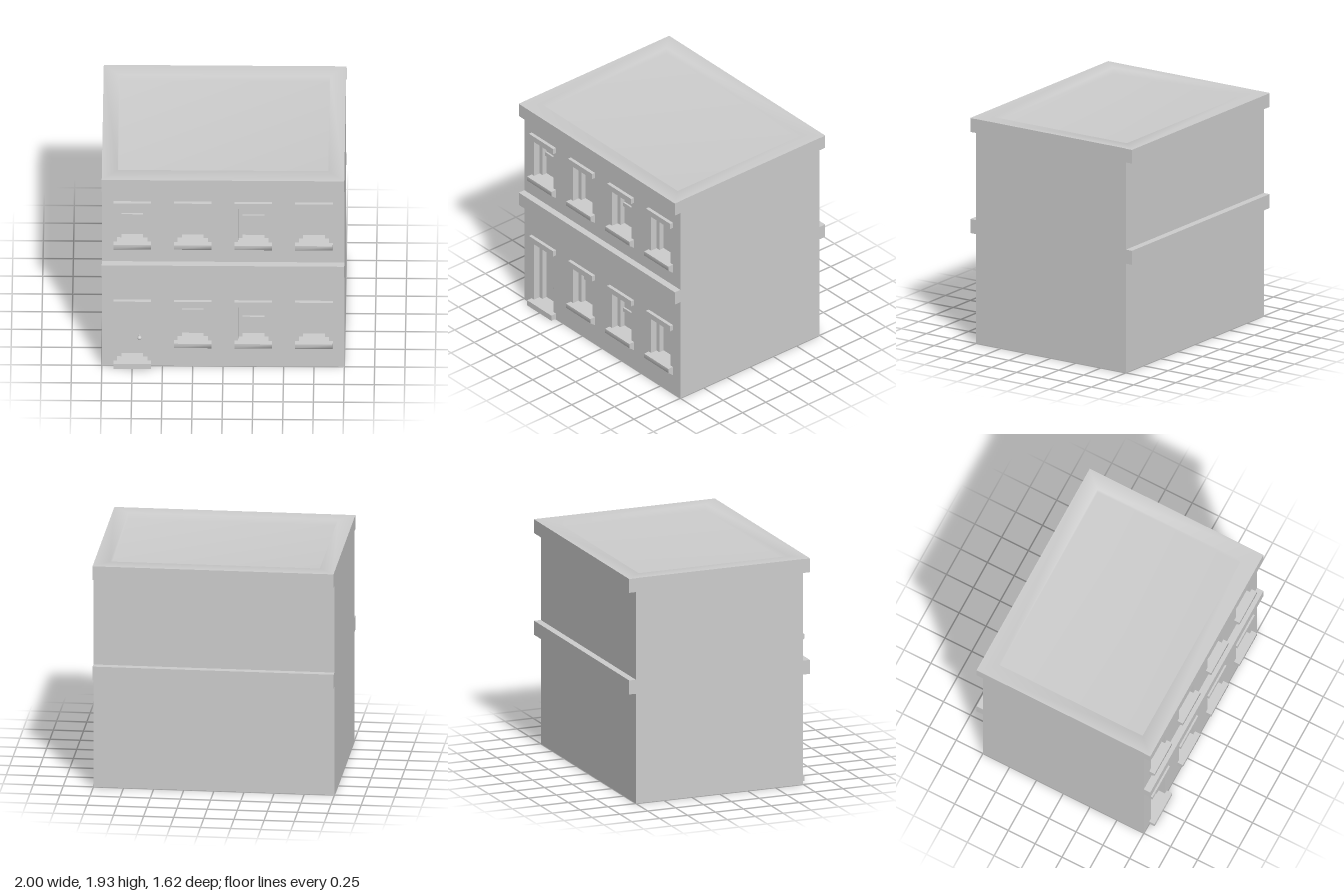
import * as THREE from 'three';
import { toCreasedNormals } from 'three/addons/utils/BufferGeometryUtils.js';

const plaster = new THREE.MeshStandardMaterial({ color: 0xcccccc, side: THREE.DoubleSide });
plaster.name = 'grey plaster';

function add(parent, name, geometry, x = 0, y = 0, z = 0) {
  const mesh = new THREE.Mesh(geometry, plaster);
  mesh.name = name;
  mesh.position.set(x, y, z);
  parent.add(mesh);
  return mesh;
}

// Box given by its limits on each axis
function block(parent, name, x0, x1, y0, y1, z0, z1) {
  return add(parent, name, new THREE.BoxGeometry(x1 - x0, y1 - y0, z1 - z0),
    (x0 + x1) / 2, (y0 + y1) / 2, (z0 + z1) / 2);
}

const HALF_DEPTH = 0.75, TOP = 1.93, RIM_Z = 0.81;
const HALF_HOLE = 0.125, HALF_GLASS = 0.09, HALF_LINTEL = 0.155;

// Each opening: centre x, bottom of its storey, height of the cross rail above it
const openings = [
  { x: -0.75, base: 0, rail: 0.52, door: true },
  { x: -0.25, base: 0, rail: 0.49 },
  { x: 0.25, base: 0, rail: 0.42 },
  { x: 0.75, base: 0, rail: 0.565 },
  { x: -0.75, base: 1, rail: 0.455 },
  { x: -0.25, base: 1, rail: 0.52 },
  { x: 0.25, base: 1, rail: 0.45 },
  { x: 0.75, base: 1, rail: 0 },
];

// Sill with a rounded-off underside, swept along x
function sillGeometry() {
  const profile = new THREE.Shape([[0.6, 0.18], [0.75, 0.18], [0.8, 0.22], [0.8, 0.26], [0.6, 0.26]]
    .map(([z, y]) => new THREE.Vector2(z, y)));
  const geometry = new THREE.ExtrudeGeometry(profile, { depth: HALF_LINTEL * 2, bevelEnabled: false });
  geometry.rotateY(-Math.PI / 2).translate(HALF_LINTEL, 0, 0);
  return toCreasedNormals(geometry, 0.96);
}

function createOpening({ x, base, rail, door }) {
  const group = new THREE.Group();
  group.name = door ? 'door' : 'window';
  group.position.set(x, base, 0);
  const bottom = door ? 0.05 : 0.26, top = 0.62;

  block(group, 'lintel', -HALF_LINTEL, HALF_LINTEL, top, 0.67, 0.6, 0.78);
  if (door) block(group, 'threshold', -HALF_LINTEL, HALF_LINTEL, 0, 0.05, 0.6, 0.8);
  else add(group, 'sill', sillGeometry());

  for (const side of [-1, 1]) {
    // Reveal lining the wall hole, then the jamb set back inside it
    add(group, 'reveal', new THREE.BoxGeometry(0.004, top - bottom, 0.148),
      side * (HALF_HOLE + 0.002), (top + bottom) / 2, 0.675);
    add(group, 'jamb', new THREE.BoxGeometry(HALF_HOLE - HALF_GLASS, top - bottom, 0.09),
      side * (HALF_HOLE + HALF_GLASS) / 2, (top + bottom) / 2, 0.645);
  }
  block(group, door ? 'doorLeaf' : 'pane', -HALF_GLASS, HALF_GLASS, bottom, top, 0.636, 0.644);
  if (rail) block(group, 'rail', -HALF_GLASS, HALF_GLASS, rail - 0.018, rail + 0.018, 0.62, 0.66);
  if (door) {
    add(group, 'knob', new THREE.SphereGeometry(0.018, 20, 14), 0.06, 0.23, 0.678);
    add(group, 'knobStem', new THREE.CylinderGeometry(0.008, 0.008, 0.03, 12).rotateX(Math.PI / 2),
      0.06, 0.23, 0.656);
  }
  return group;
}

// Front wall sheet with a hole for every opening
function frontWallGeometry() {
  const wall = new THREE.Shape([[-1, 0], [1, 0], [1, TOP], [-1, TOP]].map(p => new THREE.Vector2(...p)));
  for (const { x, base, door } of openings) {
    const y0 = base + (door ? 0.02 : 0.22), y1 = base + 0.645;
    wall.holes.push(new THREE.Path([
      [x - HALF_HOLE, y0], [x - HALF_HOLE, y1], [x + HALF_HOLE, y1], [x + HALF_HOLE, y0],
    ].map(p => new THREE.Vector2(...p))));
  }
  return new THREE.ShapeGeometry(wall);
}

// Flat rim and sunken roof deck with shared, smooth normals
function roofGeometry() {
  const positions = [], index = [];
  for (const [hx, y, hz] of [[1, TOP, RIM_Z], [0.87, TOP, 0.67], [0.865, TOP - 0.05, 0.665]]) {
    for (const [sx, sz] of [[-1, 1], [1, 1], [1, -1], [-1, -1]]) positions.push(sx * hx, y, sz * hz);
  }
  for (let ring = 0; ring < 2; ring++) {
    for (let i = 0; i < 4; i++) {
      const a = ring * 4 + i, b = ring * 4 + (i + 1) % 4;
      index.push(a, b, b + 4, a, b + 4, a + 4);
    }
  }
  index.push(8, 9, 10, 8, 10, 11);
  const geometry = new THREE.BufferGeometry();
  geometry.setAttribute('position', new THREE.Float32BufferAttribute(positions, 3));
  geometry.setIndex(index);
  geometry.computeVertexNormals();
  return geometry;
}

export function createModel() {
  const model = new THREE.Group();
  model.name = 'townhouse';

  // Hollow shell, open underneath
  add(model, 'frontWall', frontWallGeometry(), 0, 0, HALF_DEPTH);
  add(model, 'backWall', new THREE.PlaneGeometry(2, TOP).rotateY(Math.PI), 0, TOP / 2, -HALF_DEPTH);
  for (const side of [-1, 1]) {
    add(model, 'sideWall', new THREE.PlaneGeometry(HALF_DEPTH * 2, TOP).rotateY(side * Math.PI / 2),
      side, TOP / 2, 0);
  }
  add(model, 'roof', roofGeometry());

  // Storey band and cornice on front and back, flush with the side walls
  for (const [name, y0, y1] of [['storeyBand', 0.94, 1.06], ['cornice', 1.81, TOP - 0.002]]) {
    block(model, name, -1, 1, y0, y1, HALF_DEPTH, RIM_Z);
    block(model, name, -1, 1, y0, y1, -RIM_Z, -HALF_DEPTH);
  }

  for (const opening of openings) model.add(createOpening(opening));
  return model;
}
